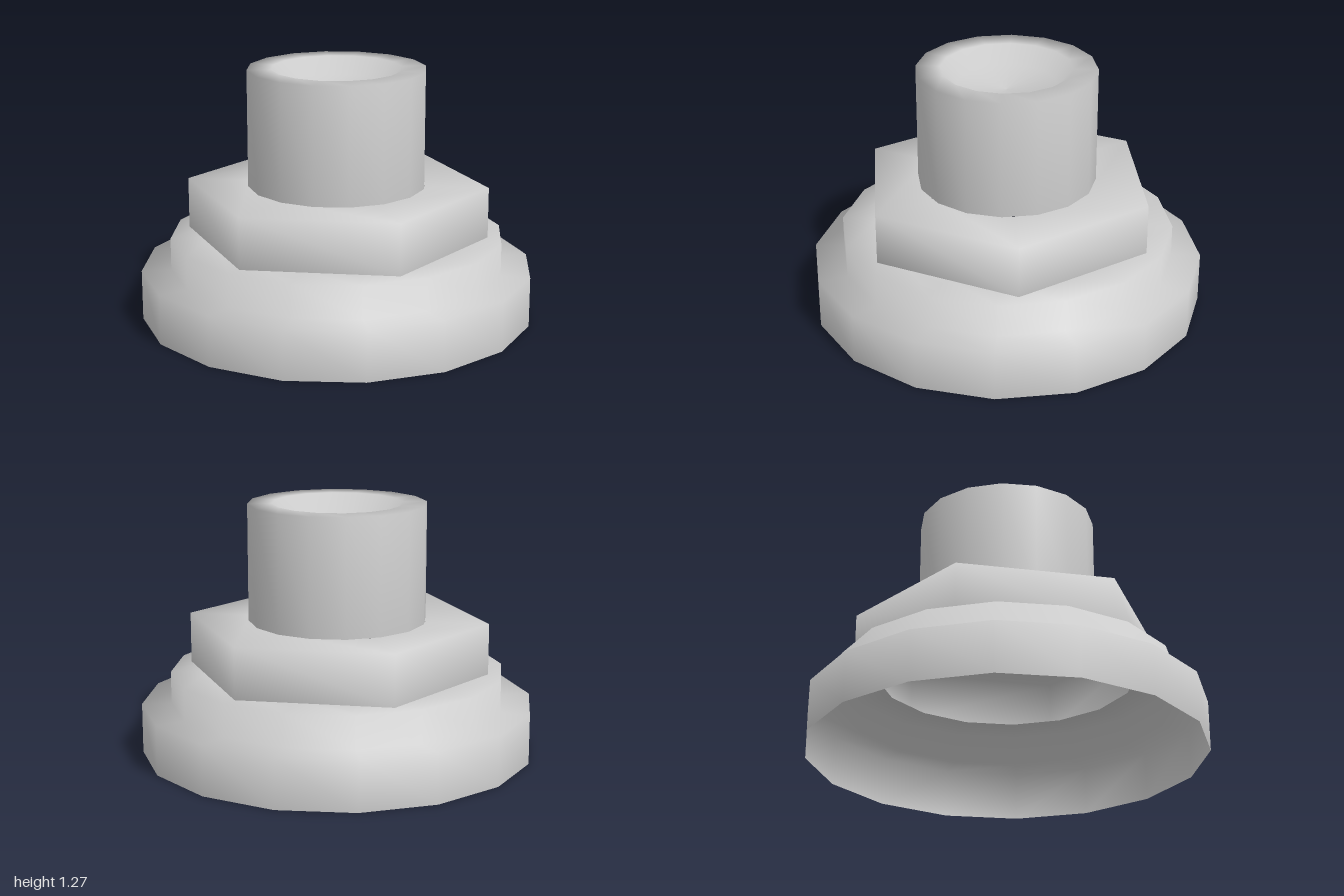
import * as THREE from 'three';

const material = new THREE.MeshStandardMaterial({ color: 0xcccccc, side: THREE.DoubleSide });

// Thin smooth shell turned around the y axis; profile runs from bottom to top
function shell(name, profile, sides) {
  const points = profile.map(([r, y]) => new THREE.Vector2(r, y));
  const mesh = new THREE.Mesh(new THREE.LatheGeometry(points, sides), material);
  mesh.name = name;
  return mesh;
}

export function createModel() {
  const group = new THREE.Group();
  group.name = 'hexFitting';
  group.add(
    // Two-step round base, open underneath, with a ledge under the nut
    shell('steppedBase', [[1, 0], [1, 0.255], [0.85, 0.255], [0.85, 0.42], [0.66, 0.42]], 16),
    // Six-sided collar with a hexagonal opening under the tube
    shell('hexCollar', [[0.77, 0.42], [0.77, 0.68], [0.45, 0.68]], 6),
    // Upright tube with a flat rim and a shallow dished top
    shell('tube', [[0.452, 0.68], [0.452, 1.275], [0.33, 1.275], [0.25, 1.19], [0, 1.16]], 16)
  );
  return group;
}
